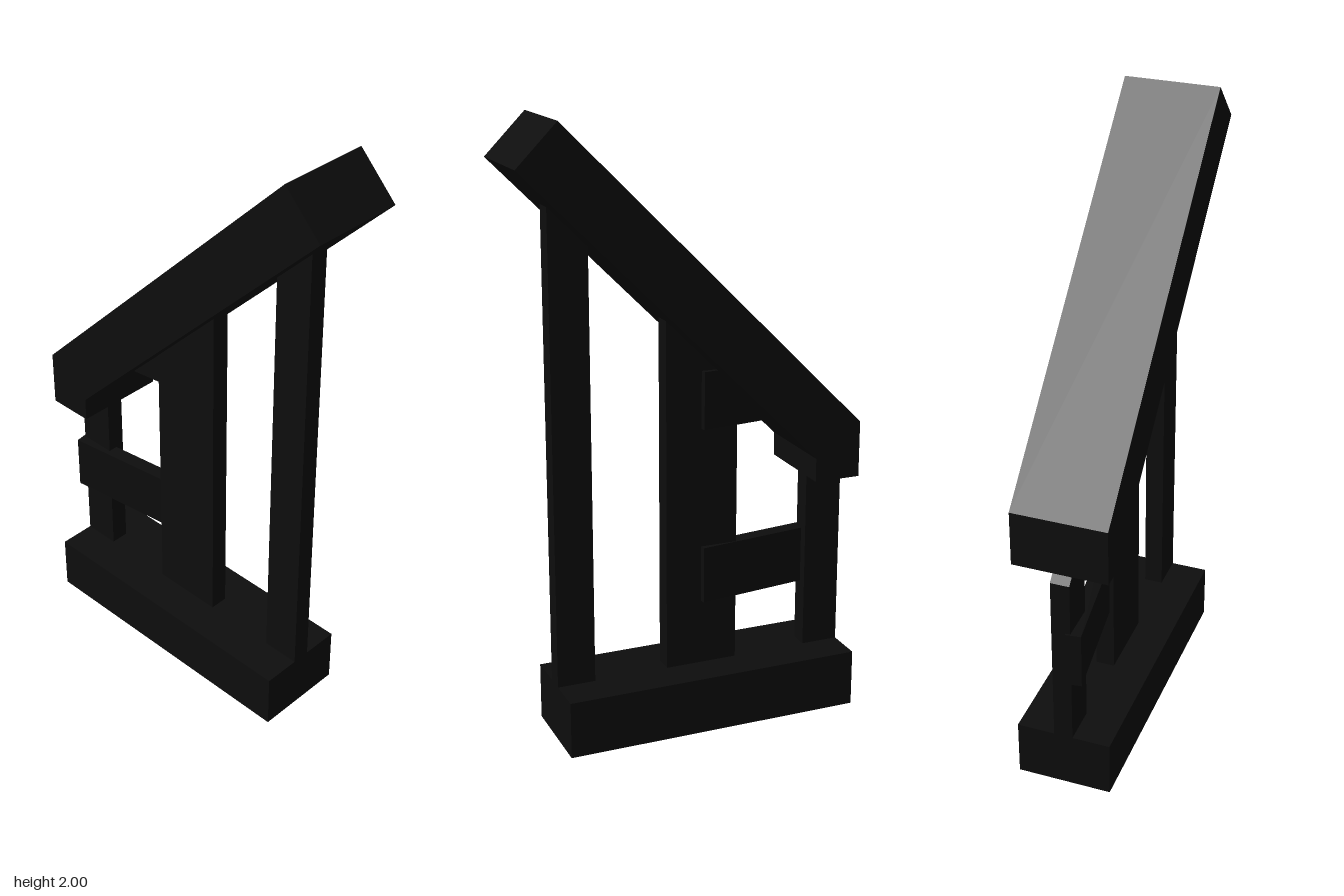
import * as THREE from 'three';

export function createModel() {
  const group = new THREE.Group();
  const black = new THREE.MeshStandardMaterial({ color: 0x0d0d0d });
  black.name = 'black';

  const add = (name, geometry) => {
    const mesh = new THREE.Mesh(geometry, black);
    mesh.name = name;
    group.add(mesh);
    return mesh;
  };
  // Outline in the x-y plane, extruded evenly about z = 0
  const slab = (name, points, depth) => {
    const shape = new THREE.Shape(points.map(([x, y]) => new THREE.Vector2(x, y)));
    const geometry = new THREE.ExtrudeGeometry(shape, { depth, bevelEnabled: false });
    return add(name, geometry.translate(0, 0, -depth / 2));
  };

  const width = 0.31;
  const baseTop = 0.19;

  // Bottom beam
  slab('baseBeam', [[-0.563, 0], [0.437, 0], [0.437, baseTop], [-0.563, baseTop]], width);

  // Sloping handrail with a square upper end and a flat-bottomed lower end
  slab('handrail', [
    [-0.563, 0.815], [-0.408, 0.815], [-0.408, 0.893],
    [0.567, 1.868], [0.437, 2], [-0.563, 1],
  ], width);

  // Upright boards, cut to the slope and let into the beam and rail
  const uprights = [
    ['lowerPost', -0.563, -0.438],
    ['middlePost', -0.185, 0.06],
    ['upperPost', 0.31, 0.437],
  ];
  for (const [name, x0, x1] of uprights) {
    slab(name, [
      [x0, baseTop - 0.03], [x1, baseTop - 0.03],
      [x1, x1 + 1.34], [x0, x0 + 1.34],
    ], 0.062);
  }

  // Cross planks, skewed from the front of the low post to the back of the middle one
  const skew = 0.13;
  const plank = (name, x0, x1, y0, y1) => {
    const mid = (x0 + x1) / 2;
    const mesh = add(name, new THREE.BoxGeometry((x1 - x0) / Math.cos(skew), y1 - y0, 0.05));
    mesh.position.set(mid, (y0 + y1) / 2, 0.008 - (mid + 0.313) * Math.tan(skew));
    mesh.rotation.y = skew;
  };
  plank('lowerPlank', -0.567, -0.06, 0.41, 0.6);
  plank('upperPlank', -0.35, -0.06, 1.0, 1.19);

  return group;
}
